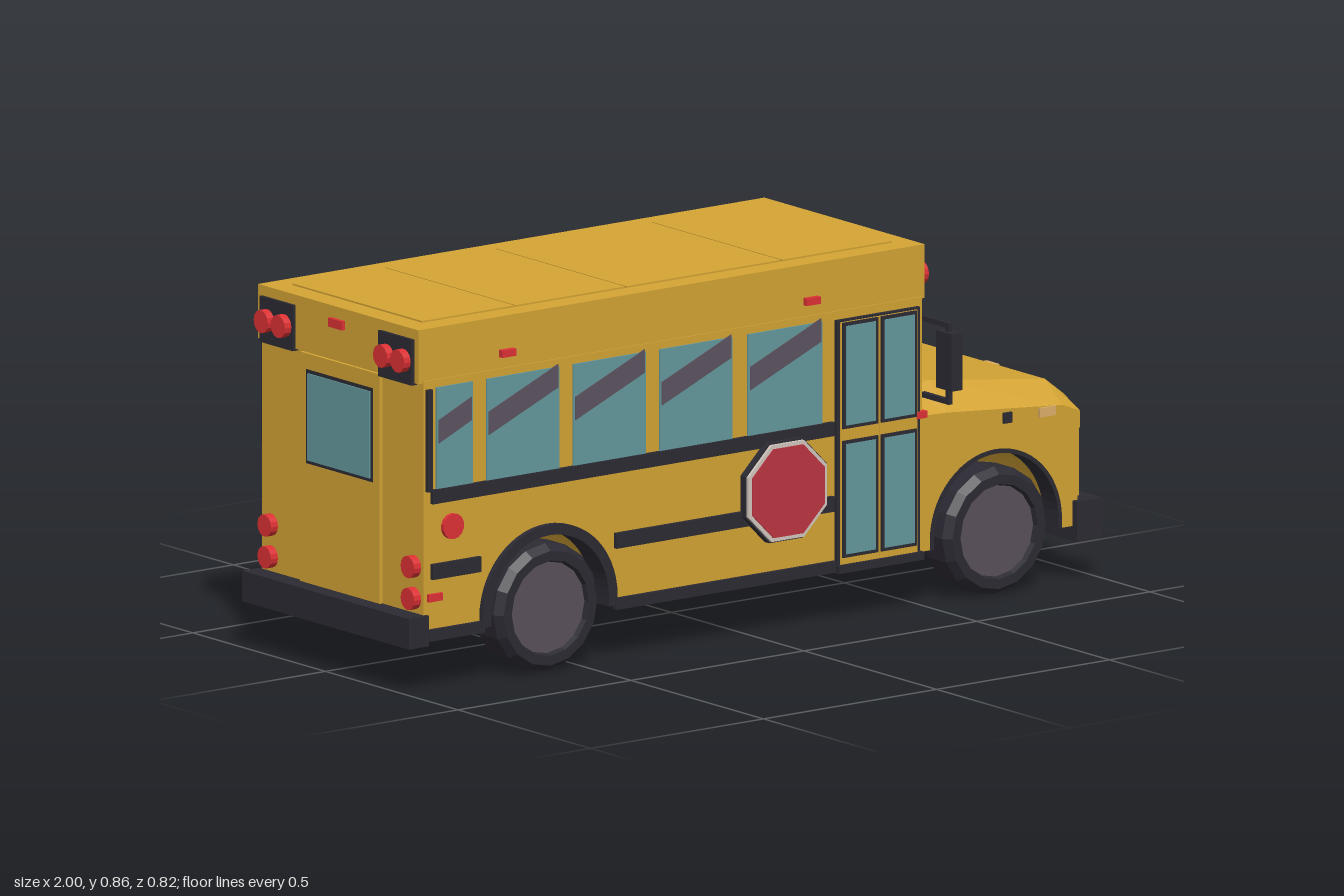
import * as THREE from 'three';

const C = { yellow: 0xd4a434, dark: 0x2c2a33, black: 0x1b1a1e, glass: 0x64999e, streak: 0x5c5460, red: 0xdc3134,
  sign: 0xbc3440, pale: 0xd2c8be, amber: 0xdcae68, brown: 0x9c683a, hub: 0x5a505a, grey: 0x66626e };
const mats = {};
const mat = (c) => (mats[c] ??= new THREE.MeshStandardMaterial({ color: C[c], flatShading: true, side: THREE.DoubleSide }));

export function createModel() {
  const bus = new THREE.Group();
  bus.name = 'schoolBus';
  const add = (name, color, geo, x = 0, y = 0, z = 0) => {
    const m = new THREE.Mesh(geo, mat(color));
    m.name = name;
    m.position.set(x, y, z);
    bus.add(m);
    return m;
  };
  const box = (name, color, x0, x1, y0, y1, z0, z1) =>
    add(name, color, new THREE.BoxGeometry(x1 - x0, y1 - y0, z1 - z0), (x0 + x1) / 2, (y0 + y1) / 2, (z0 + z1) / 2);
  // same box on both sides of the bus
  const pair = (name, color, x0, x1, y0, y1, z0, z1) => {
    box(name + 'Left', color, x0, x1, y0, y1, -z1, -z0);
    box(name + 'Right', color, x0, x1, y0, y1, z0, z1);
  };
  const extrude = (name, color, shape, z0, z1) =>
    add(name, color, new THREE.ExtrudeGeometry(shape, { depth: z1 - z0, bevelEnabled: false, curveSegments: 14 }), 0, 0, z0);
  const poly = (pts) => new THREE.Shape(pts.map((p) => new THREE.Vector2(...p)));
  // round lamp facing along x or z
  const lamp = (name, axis, r, h, x, y, z) => {
    const m = add(name, 'red', new THREE.CylinderGeometry(r, r, h, 14), x, y, z);
    if (axis === 'x') m.rotation.z = Math.PI / 2; else m.rotation.x = Math.PI / 2;
  };

  const wheelX = [-0.594, 0.703], axleY = 0.152;

  // lower body and cabin, with wheel arches cut right through
  const side = new THREE.Shape();
  side.moveTo(-0.95, 0.13);
  for (const cx of wheelX) {
    side.lineTo(cx - 0.187, 0.13);
    side.lineTo(cx - 0.187, axleY);
    side.absarc(cx, axleY, 0.187, Math.PI, 0, true);
    side.lineTo(cx + 0.187, 0.13);
  }
  for (const p of [[0.94, 0.13], [0.94, 0.4], [0.49, 0.4], [0.49, 0.73], [-0.95, 0.73]]) side.lineTo(...p);
  extrude('body', 'yellow', side, -0.305, 0.305);
  box('floor', 'black', -0.94, 0.93, 0.118, 0.14, -0.205, 0.205);

  // roof with raised panels
  box('roof', 'yellow', -0.963, 0.5, 0.725, 0.852, -0.302, 0.302);
  const seams = [-0.91, -0.64, -0.32, 0.13, 0.45];
  for (let i = 0; i < 4; i++)
    box('roofPanel', 'yellow', seams[i] + 0.002, seams[i + 1] - 0.002, 0.85, 0.856, -0.245, 0.245);

  // hood lofted along x: [x, shoulder height, top height]
  const stations = [[0.48, 0.45, 0.508], [0.56, 0.448, 0.513], [0.893, 0.42, 0.47], [0.945, 0.4, 0.43]];
  const pos = [], idx = [];
  for (const [x, sh, top] of stations)
    for (const [z, y] of [[-0.307, 0.36], [-0.307, sh], [-0.243, top], [0.243, top], [0.307, sh], [0.307, 0.36]])
      pos.push(x, y, z);
  for (let i = 0; i < 3; i++)
    for (let j = 0; j < 5; j++) {
      const a = i * 6 + j;
      idx.push(a, a + 1, a + 7, a, a + 7, a + 6);
    }
  for (let j = 1; j < 5; j++) idx.push(18, 18 + j, 19 + j);
  const hood = new THREE.BufferGeometry();
  hood.setAttribute('position', new THREE.Float32BufferAttribute(pos, 3));
  hood.setIndex(idx);
  // keep the hood open above the wheel arch: its sides start above the arch top
  hood.computeVertexNormals();
  add('hood', 'yellow', hood);
  box('hoodLamp', 'amber', 0.915, 0.93, 0.439, 0.46, -0.024, 0.024);

  // wheels: dished hub in a bevelled tyre
  const tyre = [[0.112, -0.055], [0.135, -0.055], [0.15, -0.035], [0.15, 0.035], [0.135, 0.055], [0.112, 0.055], [0.105, 0.035]];
  const tyreGeo = new THREE.LatheGeometry(tyre.map((p) => new THREE.Vector2(...p)), 16);
  const hubGeo = new THREE.CylinderGeometry(0.113, 0.113, 0.085, 16);
  for (const cx of wheelX)
    for (const s of [1, -1]) {
      add('tyre', 'dark', tyreGeo, cx, 0.15, s * 0.264).rotation.x = Math.PI / 2;
      add('hub', 'hub', hubGeo, cx, 0.15, s * 0.264).rotation.x = Math.PI / 2;
    }

  // wheel arch trim: wide at the rear, thin at the front
  wheelX.forEach((cx, i) => {
    const [r, R] = i ? [0.18, 0.19] : [0.17, 0.195];
    const rim = new THREE.Shape();
    rim.moveTo(cx - R, 0.13);
    rim.lineTo(cx - R, axleY);
    rim.absarc(cx, axleY, R, Math.PI, 0, true);
    rim.lineTo(cx + R, 0.13);
    rim.lineTo(cx + r, 0.13);
    rim.absarc(cx, axleY, r, 0, Math.PI, false);
    rim.lineTo(cx - r, 0.13);
    extrude('archTrim', 'dark', rim, 0.25, i ? 0.308 : 0.318);
    extrude('archTrim', 'dark', rim, i ? -0.308 : -0.318, -0.25);
  });

  // side windows with a diagonal reflection
  for (const [a, b] of [[-0.915, -0.81], [-0.77, -0.56], [-0.52, -0.31], [-0.27, -0.06], [-0.015, 0.2]]) {
    pair('sideWindow', 'glass', a, b, 0.47, 0.712, 0.3, 0.309);
    const k = (b - a) * 0.4;
    const streak = poly([[a + 0.005, 0.58], [b - 0.005, 0.58 + k], [b - 0.005, 0.635 + k], [a + 0.005, 0.635]]);
    extrude('reflectionRight', 'streak', streak, 0.308, 0.311);
    extrude('reflectionLeft', 'streak', streak, -0.311, -0.308);
  }

  // rub rails and corner strips
  for (const [a, b, y0, y1] of [[-0.93, 0.23, 0.44, 0.473], [-0.93, -0.79, 0.262, 0.298], [-0.4, 0.23, 0.262, 0.298],
    [-0.94, -0.78, 0.118, 0.145], [-0.4, 0.235, 0.118, 0.145], [-0.945, -0.93, 0.47, 0.71]])
    pair('rubRail', 'dark', a, b, y0, y1, 0.3, 0.315);

  // folding doors
  pair('doorFrame', 'dark', 0.238, 0.478, 0.12, 0.71, 0.3, 0.314);
  for (const x of [0.25, 0.362]) {
    pair('doorLeaf', 'yellow', x - 0.004, x + 0.107, 0.135, 0.705, 0.31, 0.317);
    for (const [y0, y1] of [[0.155, 0.422], [0.458, 0.7]]) {
      pair('doorPaneFrame', 'dark', x, x + 0.102, y0 - 0.004, y1 + 0.004, 0.31, 0.321);
      pair('doorPane', 'glass', x + 0.008, x + 0.094, y0 + 0.004, y1 - 0.004, 0.31, 0.323);
    }
  }
  pair('doorStep', 'dark', 0.235, 0.482, 0.116, 0.135, 0.28, 0.325);

  // windscreen, wipers, mirrors
  pair('windscreenFrame', 'dark', 0.48, 0.5, 0.488, 0.725, 0.019, 0.278);
  pair('windscreen', 'glass', 0.485, 0.503, 0.496, 0.716, 0.03, 0.268);
  for (const z of [0.12, -0.175]) box('wiper', 'dark', 0.503, 0.51, 0.517, 0.523, z - 0.055, z + 0.055).rotation.x = 0.15;
  for (const y of [0.675, 0.495]) pair('mirrorArm', 'dark', 0.502, 0.514, y - 0.006, y + 0.006, 0.285, 0.39);
  pair('mirrorPost', 'dark', 0.502, 0.514, 0.49, 0.681, 0.378, 0.39);
  pair('mirror', 'dark', 0.494, 0.526, 0.525, 0.66, 0.354, 0.412);

  // warning light panels, front and back
  for (const [x, d] of [[0.5, 1], [-0.963, -1]]) {
    pair('lightPanel', 'dark', x - 0.008, x + 0.008, 0.72, 0.828, 0.161, 0.287);
    for (const z of [0.257, 0.193, -0.193, -0.257]) lamp('warningLight', 'x', 0.027, 0.03, x + d * 0.012, 0.775, z);
    box('roofLamp', 'red', x - 0.01, x + 0.01, 0.803, 0.824, -0.026, 0.026);
  }

  // grille
  box('grilleFrame', 'brown', 0.93, 0.948, 0.2, 0.427, -0.168, 0.168);
  box('grille', 'dark', 0.93, 0.951, 0.214, 0.413, -0.155, 0.155);
  for (let i = 0; i < 6; i++) box('grilleSlat', 'grey', 0.94, 0.957, 0.225 + i * 0.029, 0.231 + i * 0.029, -0.148, 0.148);

  // headlights
  pair('headlightPanel', 'yellow', 0.93, 0.944, 0.2, 0.4, 0.208, 0.305);
  pair('headlightPlate', 'yellow', 0.93, 0.947, 0.202, 0.333, 0.188, 0.288);
  pair('headlightFrame', 'brown', 0.93, 0.952, 0.22, 0.32, 0.2, 0.277);
  pair('headlight', 'amber', 0.93, 0.956, 0.228, 0.312, 0.207, 0.27);

  // bumpers and plate
  box('frontBumper', 'dark', 0.925, 0.998, 0.096, 0.19, -0.322, 0.322);
  box('frontPlate', 'pale', 0.99, 1, 0.116, 0.175, -0.057, 0.057);
  box('rearBumper', 'dark', -1, -0.942, 0.108, 0.18, -0.315, 0.315);

  // rear door and lamps
  box('rearDoor', 'yellow', -0.958, -0.94, 0.18, 0.72, -0.15, 0.15);
  box('rearWindowFrame', 'dark', -0.96, -0.94, 0.462, 0.683, -0.125, 0.125);
  box('rearWindow', 'glass', -0.963, -0.94, 0.47, 0.675, -0.117, 0.117);
  for (const z of [0.27, -0.27]) for (const y of [0.215, 0.29]) lamp('tailLight', 'x', 0.026, 0.03, -0.955, y, z);

  // side markers
  for (const x of [-0.71, 0.17]) pair('roofMarker', 'red', x - 0.02, x + 0.02, 0.757, 0.774, 0.3, 0.316);
  pair('cowlMarker', 'red', 0.465, 0.497, 0.447, 0.463, 0.3, 0.318);
  pair('rearMarker', 'red', -0.94, -0.9, 0.21, 0.228, 0.3, 0.313);
  pair('fenderMarker', 'amber', 0.825, 0.872, 0.4, 0.422, 0.3, 0.313);
  pair('fenderVent', 'dark', 0.722, 0.746, 0.4, 0.425, 0.3, 0.313);
  lamp('sideReflector', 'z', 0.03, 0.02, -0.87, 0.38, 0.305);

  // octagonal stop paddle
  [['dark', 0.127, 0.31, 0.328], ['pale', 0.123, 0.32, 0.335], ['sign', 0.113, 0.325, 0.338]].forEach(([color, r, z0, z1]) => {
    const pts = Array.from({ length: 8 }, (_, i) => {
      const a = (i + 0.5) * Math.PI / 4;
      return [0.08 + r * Math.cos(a), 0.335 + r * Math.sin(a)];
    });
    extrude('stopPaddle', color, poly(pts), z0, z1);
  });

  return bus;
}
